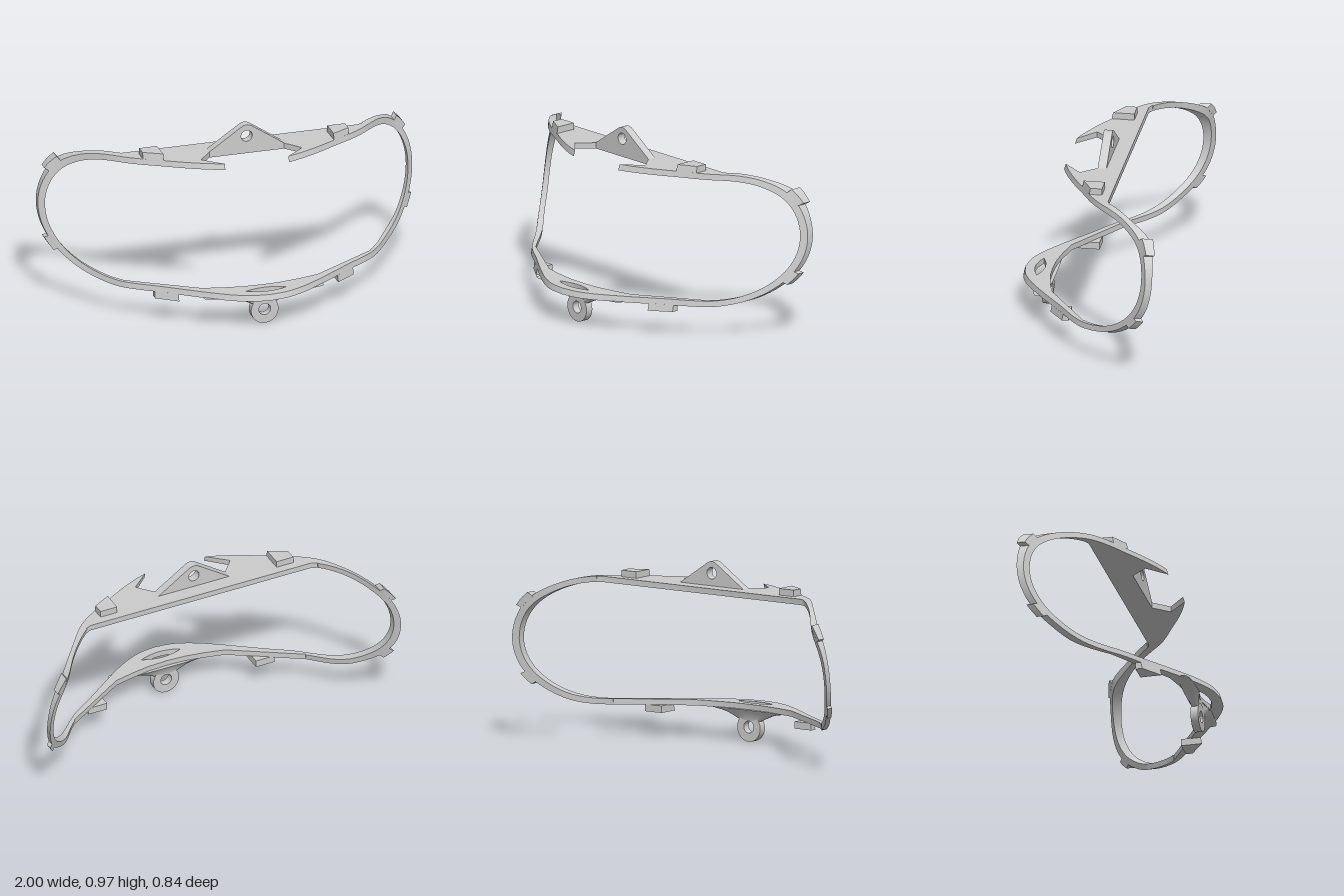
import * as THREE from 'three';
import { toCreasedNormals } from 'three/addons/utils/BufferGeometryUtils.js';

const MAT = new THREE.MeshStandardMaterial({ color: 0xcccccc });
const Y0 = 0.165, Y1 = 0.845, THICK = 0.03;   // outer height range and wall of the frame
const CX = 0.66, CY = 0.505, R = 0.34;        // centre and radius of the rounded ends

// Smooth curve z(x) through a few points
function curve(xs, zs) {
  const c = new THREE.CubicInterpolant(xs, zs, 1);
  return x => c.evaluate(Math.abs(x))[0];
}
const frontLow = curve([0, 0.1, 0.2, 0.3, 0.5, 0.66, 0.8, 0.9, 1], [0.415, 0.4, 0.355, 0.29, 0.145, 0.03, -0.12, -0.215, -0.32]);
const frontHigh = curve([0, 0.17, 0.3, 0.45, 0.66, 0.8, 0.9, 1], [0.2, 0.17, 0.12, 0.04, -0.09, -0.245, -0.355, -0.425]);
const backLow = curve([0.5, 0.66, 0.8, 0.9, 1], [0.1, 0, -0.165, -0.25, -0.355]);
const backHigh = curve([0.5, 0.66, 0.8, 0.9, 1], [-0.04, -0.145, -0.285, -0.415, -0.46]);
const level = y => (y - Y0) / (Y1 - Y0);
const zFront = (x, y) => THREE.MathUtils.lerp(frontLow(x), frontHigh(x), level(y));
const zBack = (x, y) => THREE.MathUtils.lerp(backLow(x), backHigh(x), level(y));

// Closed solid through equal-sized loops, optionally mirrored in x
function loft(sections, side = 1) {
  const n = sections[0].length, pos = [], idx = [];
  sections.forEach(s => s.forEach(p => pos.push(p[0] * side, p[1], p[2])));
  const tri = (a, b, c) => (side > 0 ? idx.push(a, b, c) : idx.push(a, c, b));
  for (let i = 0; i < sections.length - 1; i++) {
    for (let j = 0; j < n; j++) {
      const a = i * n + j, b = i * n + (j + 1) % n;
      tri(a, b, b + n);
      tri(a, b + n, a + n);
    }
  }
  const last = (sections.length - 1) * n;
  for (let j = 1; j < n - 1; j++) {
    tri(0, j + 1, j);
    tri(last, last + j, last + j + 1);
  }
  const g = new THREE.BufferGeometry();
  g.setAttribute('position', new THREE.Float32BufferAttribute(pos, 3));
  g.setIndex(idx);
  return toCreasedNormals(g, 0.6);
}

// Part of a rounded end between two radii and two angles (degrees)
function endArc(r0, r1, a0, a1, steps, side) {
  const sections = [];
  for (let i = 0; i <= steps; i++) {
    const a = THREE.MathUtils.degToRad(a0 + (a1 - a0) * i / steps);
    const at = (r, z) => {
      const x = CX + r * Math.cos(a), y = CY + r * Math.sin(a);
      return [x, y, z(x, y)];
    };
    sections.push([at(r1, zFront), at(r1, zBack), at(r0, zBack), at(r0, zFront)]);
  }
  return loft(sections, side);
}

// Clip block whose front follows the frame
function clip(x0, x1, y0, y1, back, side) {
  const section = y => [[x0, y, zFront(x0, y)], [x1, y, zFront(x1, y)], [x1, y, back], [x0, y, back]];
  return loft([section(y0), section(y1)], side);
}

// Flat plate from an outline in x and z, its front edge leaning with the frame
function plate(points, top, hole) {
  const shape = new THREE.Shape(points.map(p => new THREE.Vector2(p[0], p[1])));
  if (hole) shape.holes.push(hole);
  const g = new THREE.ExtrudeGeometry(shape, { depth: THICK, bevelEnabled: false, curveSegments: 16 });
  g.rotateX(Math.PI / 2).translate(0, top, 0);
  const p = g.attributes.position, ref = top - THICK;
  for (let i = 0; i < p.count; i++) {
    const x = p.getX(i);
    if (p.getZ(i) > zFront(x, ref) - 0.002) p.setZ(i, zFront(x, p.getY(i)));
  }
  return toCreasedNormals(g, 0.5);
}

const frontEdge = (from, to, y, steps) => Array.from({ length: steps + 1 }, (_, i) => {
  const x = from + (to - from) * i / steps;
  return [x, zFront(x, y)];
});
const flip = pts => pts.map(([x, z]) => [-x, z]).reverse();

function extrudeZ(shape, z0, z1) {
  const g = new THREE.ExtrudeGeometry(shape, { depth: z1 - z0, bevelEnabled: false, curveSegments: 24 });
  return toCreasedNormals(g.translate(0, 0, z0), 0.5);
}
function roundHole(y, r) {
  return new THREE.Path().absarc(0, y, r, 0, Math.PI * 2, true);
}

export function createModel() {
  const model = new THREE.Group();
  const add = (name, geometry) => {
    const m = new THREE.Mesh(geometry, MAT);
    m.name = name;
    model.add(m);
  };

  // Lower plate with an eye-shaped slot
  const slot = new THREE.Path();
  slot.moveTo(-0.112, 0.33);
  slot.quadraticCurveTo(0, 0.28, 0.112, 0.33);
  slot.quadraticCurveTo(0, 0.382, -0.112, 0.33);
  const lowBack = [[0, 0.265], [0.1, 0.261], [0.2, 0.245], [0.31, 0.22], [CX, zBack(CX, Y0)]];
  add('lowerPlate', plate([
    ...flip(lowBack), ...lowBack.slice(1), ...frontEdge(CX, -CX, Y0, 48),
  ], Y0 + THICK, slot));

  // Upper plate with the nose-side notch
  const high = Y1 - THICK;
  const upperHalf = [[0.63, -0.125], [CX, zBack(CX, high)], ...frontEdge(CX, 0.17, high, 20), [0.27, 0.082], [0.2, 0]];
  add('upperPlate', plate([...upperHalf, ...flip(upperHalf)], Y1));

  // Rounded ends and clips on both sides
  for (const side of [1, -1]) {
    const label = side > 0 ? 'left' : 'right';
    add(label + 'EndBand', endArc(R - THICK, R, -90, 90, 48, side));
    add(label + 'UpperSideClip', endArc(R - 0.005, 0.364, 33, 47, 3, side));
    add(label + 'LowerSideClip', endArc(R - 0.005, 0.36, -38, -27, 3, side));
    add(label + 'TopClip', clip(0.455, 0.55, Y1 - 0.002, 0.879, -0.08, side));
    add(label + 'BottomClip', clip(0.425, 0.53, 0.13, Y0 + 0.002, 0.095, side));
  }

  // Triangular lug on top
  const lug = new THREE.Shape();
  lug.moveTo(-0.205, Y1 - 0.002);
  lug.lineTo(0.205, Y1 - 0.002);
  lug.lineTo(0.03, 0.961);
  lug.quadraticCurveTo(0, 0.982, -0.03, 0.961);
  lug.closePath();
  lug.holes.push(roundHole(0.91, 0.03));
  add('topLug', extrudeZ(lug, -0.045, 0));

  // Round eyelet underneath
  const eyelet = new THREE.Shape().absarc(0, 0.073, 0.073, 0, Math.PI * 2, false);
  eyelet.holes.push(roundHole(0.076, 0.031));
  add('bottomEyelet', extrudeZ(eyelet, 0.27, 0.31));

  // Flared root joining the eyelet to the lower plate, kept clear of the slot
  const rows = [
    // height, half width, back, front
    [0.108, 0.063, 0.27, 0.31], [0.118, 0.085, 0.268, 0.311], [0.13, 0.11, 0.264, 0.314],
    [0.142, 0.14, 0.259, 0.318], [0.152, 0.18, 0.254, 0.323], [0.16, 0.235, 0.248, 0.328],
    [0.167, 0.32, 0.245, 0.332],
  ];
  const root = rows.map(([y, w, back, front]) => Array.from({ length: 40 }, (_, i) => {
    const a = i / 40 * Math.PI * 2, c = Math.cos(a);
    const x = w * Math.sin(a);
    let z = (back + front) / 2 + (front - back) / 2 * Math.sign(c) * Math.sqrt(Math.abs(c));
    if (Math.abs(x) < 0.112) z = Math.min(z, 0.305 + 0.025 * (x / 0.112) ** 2);
    return [x, y, z];
  }));
  add('eyeletRoot', loft(root));

  return model;
}
